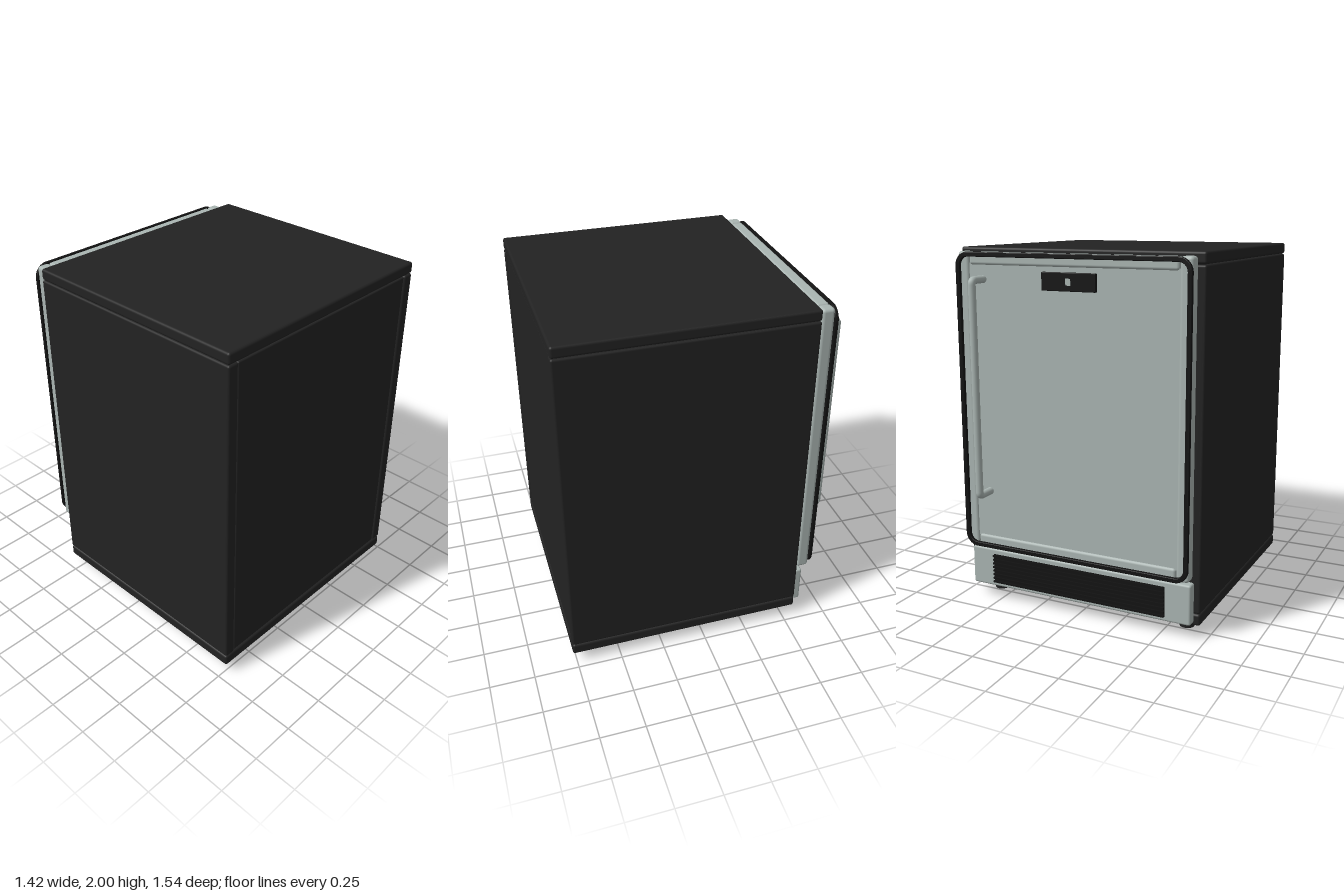
import * as THREE from 'three';
import { RoundedBoxGeometry } from 'three/addons/geometries/RoundedBoxGeometry.js';

const mat = (name, color) => {
  const m = new THREE.MeshStandardMaterial({ color });
  m.name = name;
  return m;
};

export function createModel() {
  const cabinet = mat('cabinet charcoal', 0x222222);
  const black = mat('trim black', 0x121212);
  const steel = mat('brushed steel', 0xaab5b2);

  const model = new THREE.Group();
  model.name = 'undercounterFridge';

  const add = (name, geometry, material, parent = model) => {
    const mesh = new THREE.Mesh(geometry, material);
    mesh.name = name;
    parent.add(mesh);
    return mesh;
  };
  // Box given by its min and max on each axis, with rounded edges when r > 0
  const box = (name, [x0, x1], [y0, y1], [z0, z1], r, material, parent) => {
    const w = x1 - x0, h = y1 - y0, d = z1 - z0;
    const g = r ? new RoundedBoxGeometry(w, h, d, 3, r) : new THREE.BoxGeometry(w, h, d);
    g.translate((x0 + x1) / 2, (y0 + y1) / 2, (z0 + z1) / 2);
    return add(name, g, material, parent);
  };

  // Cabinet shell
  const body = new THREE.Group();
  body.name = 'cabinet';
  model.add(body);
  const depth = [-0.57, 0.77];
  box('topPanel', [-0.71, 0.71], [1.938, 2], depth, 0.014, cabinet, body);
  box('basePanel', [-0.71, 0.71], [0.065, 0.13], depth, 0.014, cabinet, body);
  box('sidePanelLeft', [0.647, 0.71], [0.132, 1.936], depth, 0.012, cabinet, body);
  box('sidePanelRight', [-0.71, -0.647], [0.132, 1.936], depth, 0.012, cabinet, body);
  box('rearPanel', [-0.643, 0.643], [0.136, 1.932], [0.7, 0.765], 0.008, cabinet, body);
  box('core', [-0.65, 0.65], [0.12, 1.95], [-0.56, 0.74], 0, cabinet, body);

  // Feet
  for (const x of [-0.593, 0.593]) {
    for (const z of [-0.45, 0.652]) {
      const foot = add('foot', new THREE.CylinderGeometry(0.041, 0.041, 0.07, 24), cabinet);
      foot.position.set(x, 0.035, z);
    }
  }

  // Door frame and panel
  const door = new THREE.Group();
  door.name = 'door';
  model.add(door);
  const dz = [-0.655, -0.584];
  for (const s of [-1, 1]) {
    const xs = [s * 0.605, s * 0.675].sort((a, b) => a - b);
    box('doorStile', xs, [0.33, 1.98], dz, 0.018, steel, door);
  }
  box('doorRailTop', [-0.603, 0.603], [1.91, 1.978], dz, 0.016, steel, door);
  box('doorRailBottom', [-0.603, 0.603], [0.332, 0.4], dz, 0.016, steel, door);
  box('doorPanel', [-0.61, 0.61], [0.39, 1.92], [-0.645, -0.595], 0, steel, door);

  // Black edge trim around the door
  const roundedRect = (path, w, h, r) => {
    path.moveTo(-w + r, -h);
    path.lineTo(w - r, -h);
    path.absarc(w - r, -h + r, r, -Math.PI / 2, 0);
    path.lineTo(w, h - r);
    path.absarc(w - r, h - r, r, 0, Math.PI / 2);
    path.lineTo(-w + r, h);
    path.absarc(-w + r, h - r, r, Math.PI / 2, Math.PI);
    path.lineTo(-w, -h + r);
    path.absarc(-w + r, -h + r, r, Math.PI, Math.PI * 1.5);
    return path;
  };
  const outline = roundedRect(new THREE.Shape(), 0.674, 0.82, 0.07);
  outline.holes.push(roundedRect(new THREE.Path(), 0.656, 0.802, 0.052));
  const trim = add('doorTrim', new THREE.ExtrudeGeometry(outline, {
    depth: 0.01, bevelEnabled: true, bevelThickness: 0.005, bevelSize: 0.004,
    bevelSegments: 2, curveSegments: 10,
  }), black, door);
  trim.position.set(0, 1.155, -0.67);

  // Display plate with a small indicator
  box('display', [-0.157, 0.157], [1.79, 1.885], [-0.66, -0.64], 0.004, black, door);
  box('displayIndicator', [-0.014, 0.014], [1.82, 1.855], [-0.662, -0.659], 0, steel, door);

  // Bar handle: one tube bent round at both ends
  const hx = 0.522, top = 1.836, low = 0.663, out = -0.75, bend = 0.022;
  const v = (y, z) => new THREE.Vector3(hx, y, z);
  const path = new THREE.CurvePath();
  path.add(new THREE.LineCurve3(v(top, -0.64), v(top, out + bend)));
  path.add(new THREE.QuadraticBezierCurve3(v(top, out + bend), v(top, out), v(top - bend, out)));
  path.add(new THREE.LineCurve3(v(top - bend, out), v(low + bend, out)));
  path.add(new THREE.QuadraticBezierCurve3(v(low + bend, out), v(low, out), v(low, out + bend)));
  path.add(new THREE.LineCurve3(v(low, out + bend), v(low, -0.64)));
  add('handle', new THREE.TubeGeometry(path, 240, 0.0205, 16), steel, door);

  // Kick plate with slatted vent
  const kick = new THREE.Group();
  kick.name = 'kickPlate';
  model.add(kick);
  box('kickPanel', [-0.675, 0.675], [0.08, 0.305], [-0.62, -0.56], 0.012, steel, kick);
  box('ventBacking', [-0.53, 0.53], [0.105, 0.275], [-0.624, -0.615], 0, black, kick);
  for (let i = 0; i < 8; i++) {
    const y = 0.113 + i * 0.022;
    box('ventSlat', [-0.53, 0.53], [y - 0.005, y + 0.005], [-0.637, -0.62], 0, black, kick);
  }

  return model;
}
